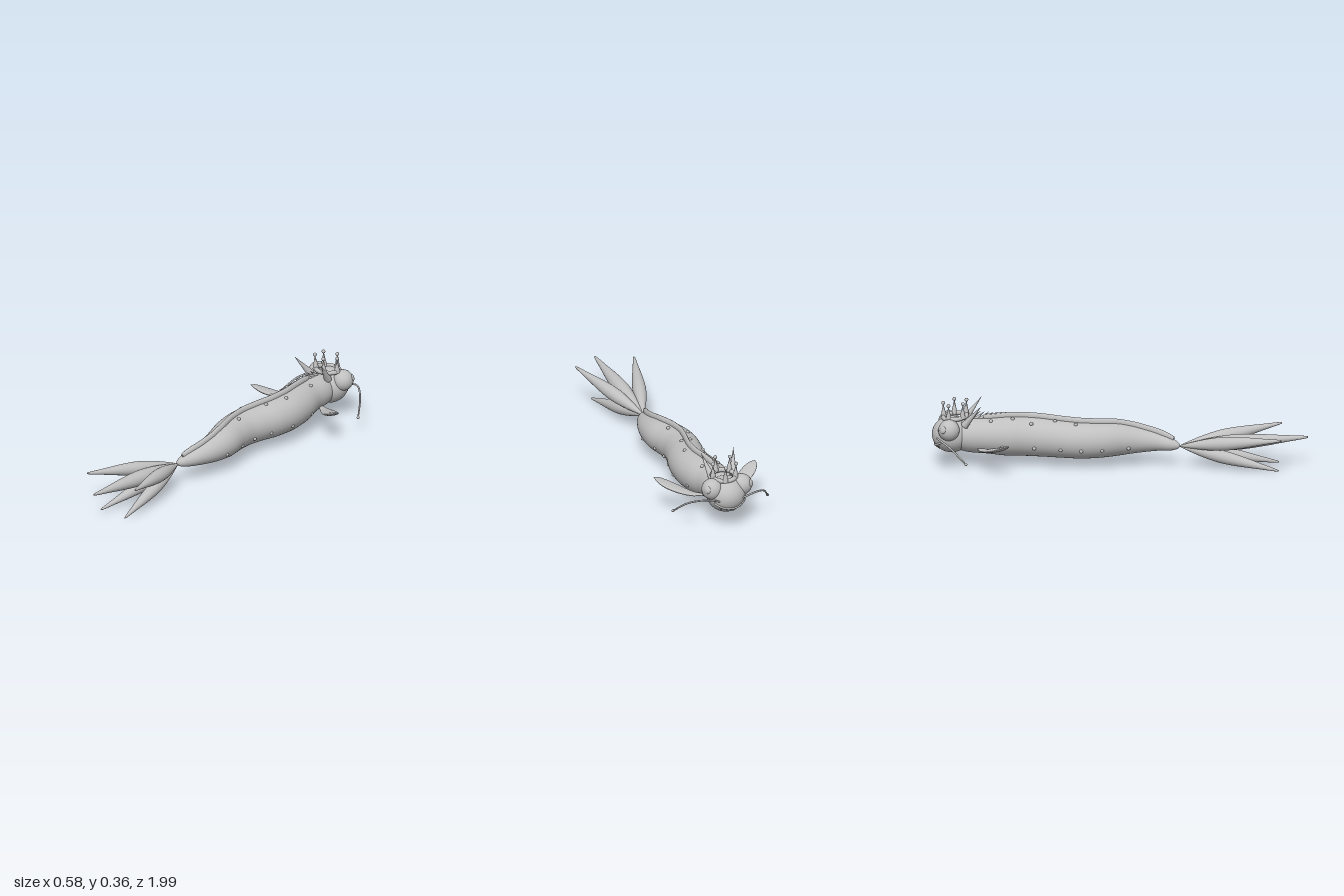
import * as THREE from 'three';
import { mergeVertices } from 'three/addons/utils/BufferGeometryUtils.js';

const V = (x, y, z) => new THREE.Vector3(x, y, z);
const UP = V(0, 1, 0);

// Smooth curves through stations [x, y, z, radius]
function spine(stations) {
  const path = new THREE.CatmullRomCurve3(stations.map(s => V(s[0], s[1], s[2])), false, 'catmullrom');
  const size = new THREE.CatmullRomCurve3(stations.map(s => V(s[3], 0, 0)), false, 'catmullrom');
  return { at: t => path.getPoint(t), dir: t => path.getTangent(t), r: t => Math.max(0, size.getPoint(t).x) };
}

// Sweep an elliptical ring along a spine; k is height relative to width
function sweep(stations, k = 1, sides = 24, steps = 48) {
  const s = spine(stations);
  const g = new THREE.CylinderGeometry(1, 1, 1, sides, steps, true);
  const p = g.attributes.position;
  for (let i = 0; i < p.count; i++) {
    const t = THREE.MathUtils.clamp(p.getY(i) + 0.5, 0, 1);
    const T = s.dir(t), r = s.r(t);
    const side = T.clone().cross(UP).normalize();
    const up = side.clone().cross(T);
    const q = s.at(t).addScaledVector(side, p.getX(i) * r).addScaledVector(up, p.getZ(i) * r * k);
    p.setXYZ(i, q.x, q.y, q.z);
  }
  g.deleteAttribute('uv');
  g.deleteAttribute('normal');
  const m = mergeVertices(g, 1e-5);
  m.computeVertexNormals();
  return m;
}

export function createModel() {
  const model = new THREE.Group();
  const grey = new THREE.MeshStandardMaterial({ color: 0xc0c0c0 });
  grey.name = 'grey';

  const add = (name, geo, pos) => {
    const m = new THREE.Mesh(geo, grey);
    m.name = name;
    if (pos) m.position.copy(pos);
    model.add(m);
    return m;
  };
  const ball = (name, r, pos) => add(name, new THREE.SphereGeometry(r, 20, 14), pos);
  const cone = (name, from, to, r) => {
    const d = to.clone().sub(from);
    const m = add(name, new THREE.ConeGeometry(r, d.length(), 16), from.clone().lerp(to, 0.5));
    m.quaternion.setFromUnitVectors(UP, d.normalize());
    return m;
  };

  // Winding body from tail joint to neck
  const bodyStations = [
    [-0.02, 0.12, 0.325, 0], [-0.02, 0.122, 0.31, 0.018], [-0.01, 0.127, 0.27, 0.035], [0.012, 0.135, 0.2, 0.05],
    [0.023, 0.142, 0.1, 0.07], [0.015, 0.148, 0, 0.087], [-0.01, 0.15, -0.1, 0.094], [-0.02, 0.152, -0.2, 0.098],
    [-0.005, 0.155, -0.3, 0.101], [0.018, 0.158, -0.4, 0.105], [0.026, 0.162, -0.5, 0.107], [0.014, 0.166, -0.6, 0.106],
    [-0.003, 0.172, -0.7, 0.096], [-0.005, 0.175, -0.8, 0.09], [0, 0.178, -0.88, 0.07],
  ];
  add('body', sweep(bodyStations, 1, 40, 120));

  // Body centre and radius at any z
  const bodyAt = z => {
    let i = 1;
    while (i < bodyStations.length - 1 && bodyStations[i][2] > z) i++;
    const a = bodyStations[i - 1], b = bodyStations[i], f = (z - a[2]) / (b[2] - a[2]);
    return a.map((v, j) => v + (b[j] - v) * f);
  };

  // Long ridge along the back
  const ridge = [];
  for (let i = 0; i <= 20; i++) {
    const z = 0.285 - i * 0.05, [x, y, , r] = bodyAt(z);
    ridge.push([x, y + r + 0.004, z, i === 0 || i === 20 ? 0.009 : 0.012]);
  }
  ridge.unshift([ridge[0][0], ridge[0][1], 0.288, 0]);
  ridge.push([ridge[21][0], ridge[21][1], -0.718, 0]);
  add('backRidge', sweep(ridge, 1.7, 12, 120));

  // Slanted spines behind the crown
  for (let i = 0; i < 8; i++) {
    const z = -0.79 + i * 0.026, [x, y, , r] = bodyAt(z);
    const h = 0.055 - i * 0.003;
    cone('backSpine', V(x, y + r - 0.005, z), V(x, y + r + h * 0.75, z + h), 0.011);
  }

  // Warts: low on both flanks, then scattered over the back
  const wart = (z, angle) => {
    const [x, y, , r] = bodyAt(z);
    ball('wart', 0.01, V(x + Math.sin(angle) * r, y + Math.cos(angle) * r, z));
  };
  for (const z of [0.05, -0.09, -0.2, -0.31, -0.45, -0.62])
    for (const s of [-1, 1]) wart(z, s * 1.95);
  for (const [x, z] of [[-0.04, -0.68], [0.05, -0.68], [-0.015, -0.565], [-0.04, -0.465], [0.063, -0.465],
    [-0.02, -0.34], [0.03, -0.34], [-0.05, -0.23], [0.02, -0.13]]) {
    const [cx, , , r] = bodyAt(z);
    wart(z, Math.asin((x - cx) / r));
  }

  // Head
  const headPos = V(0, 0.178, -0.888);
  add('head', new THREE.SphereGeometry(0.1, 40, 28), headPos).scale.set(1.04, 0.96, 1.05);

  // Curved lip and little teeth, wrapped on the head
  const onHead = (az, y, out = 0) => {
    const h = (y - headPos.y) / 0.096, w = Math.sqrt(1 - h * h);
    return V(Math.sin(az) * w * (0.104 + out), y, headPos.z - Math.cos(az) * w * (0.105 + out));
  };
  const lip = [];
  for (let i = -6; i <= 6; i++) lip.push(onHead(i * 0.17, 0.125 + 0.03 * (i / 6) ** 2));
  add('lip', new THREE.TubeGeometry(new THREE.CatmullRomCurve3(lip), 48, 0.006, 10));
  for (const a of [-0.7, -0.25, 0.25, 0.7]) {
    const y = 0.125 + 0.03 * (a / 1.02) ** 2;
    cone('tooth', onHead(a, y), onHead(a, y - 0.028, 0.008), 0.007);
  }

  for (const s of [-1, 1]) {
    // Bulging eye with raised pupil
    ball('eye', 0.057, V(s * 0.084, 0.223, -0.902));
    const look = V(s * 0.75, 0.25, -0.6).normalize();
    const pupil = ball('pupil', 0.02, V(s * 0.084, 0.223, -0.902).addScaledVector(look, 0.053));
    pupil.scale.z = 0.45;
    pupil.quaternion.setFromUnitVectors(V(0, 0, 1), look);

    // Whisker with round tip
    add('whisker', sweep([[s * 0.055, 0.17, -0.965, 0.005], [s * 0.14, 0.188, -0.955, 0.005],
      [s * 0.215, 0.158, -0.89, 0.005], [s * 0.27, 0.09, -0.81, 0.004]], 1, 10, 32));
    ball('whiskerTip', 0.008, V(s * 0.27, 0.09, -0.81));

    // Paddle-shaped side fin
    add('sideFin', sweep([[s * 0.07, 0.12, -0.74, 0.012], [s * 0.12, 0.122, -0.715, 0.027], [s * 0.18, 0.14, -0.675, 0.04],
      [s * 0.235, 0.163, -0.63, 0.041], [s * 0.27, 0.183, -0.602, 0.026], [s * 0.29, 0.194, -0.585, 0]], 0.26, 24, 40));

    // Backswept horn
    cone('horn', V(s * 0.06 - 0.01, 0.245, -0.82), V(s * 0.093 - 0.014, 0.362, -0.73), 0.021);
  }

  // Crown: ring with five ball-topped points
  const ring = add('crownRing', new THREE.TorusGeometry(0.062, 0.012, 14, 40), V(0.005, 0.274, -0.87));
  ring.rotation.x = -Math.PI / 2 - 0.1;
  for (let i = 0; i < 5; i++) {
    const a = (22 + 72 * i) * Math.PI / 180, sx = Math.sin(a), cz = Math.cos(a);
    const y = 0.272 + 0.008 * cz;
    const tip = V(0.003 + sx * 0.066, y + 0.08, -0.87 + cz * 0.065);
    cone('crownPoint', V(0.005 + sx * 0.062, y, -0.87 + cz * 0.062), tip, 0.017);
    ball('crownBall', 0.01, tip);
  }

  // Tail: five spindle lobes fanning from one joint
  for (const [x, y, z, r] of [[-0.02, 0.172, 1, 0.041], [-0.187, 0.2, 0.86, 0.036], [0.147, 0.2, 0.86, 0.036],
    [-0.104, 0.009, 0.845, 0.034], [0.062, 0.009, 0.845, 0.034]]) {
    const lobe = [[0, 0], [0.04, 0.2], [0.18, 0.62], [0.33, 0.92], [0.47, 1], [0.65, 0.78], [0.82, 0.46], [0.985, 0.16], [1, 0]];
    add('tailLobe', sweep(lobe.map(([t, w]) =>
      [-0.02 + (x + 0.02) * t, 0.12 + (y - 0.12) * t, 0.318 + (z - 0.318) * t, r * w]), 1, 24, 48));
  }
  return model;
}
